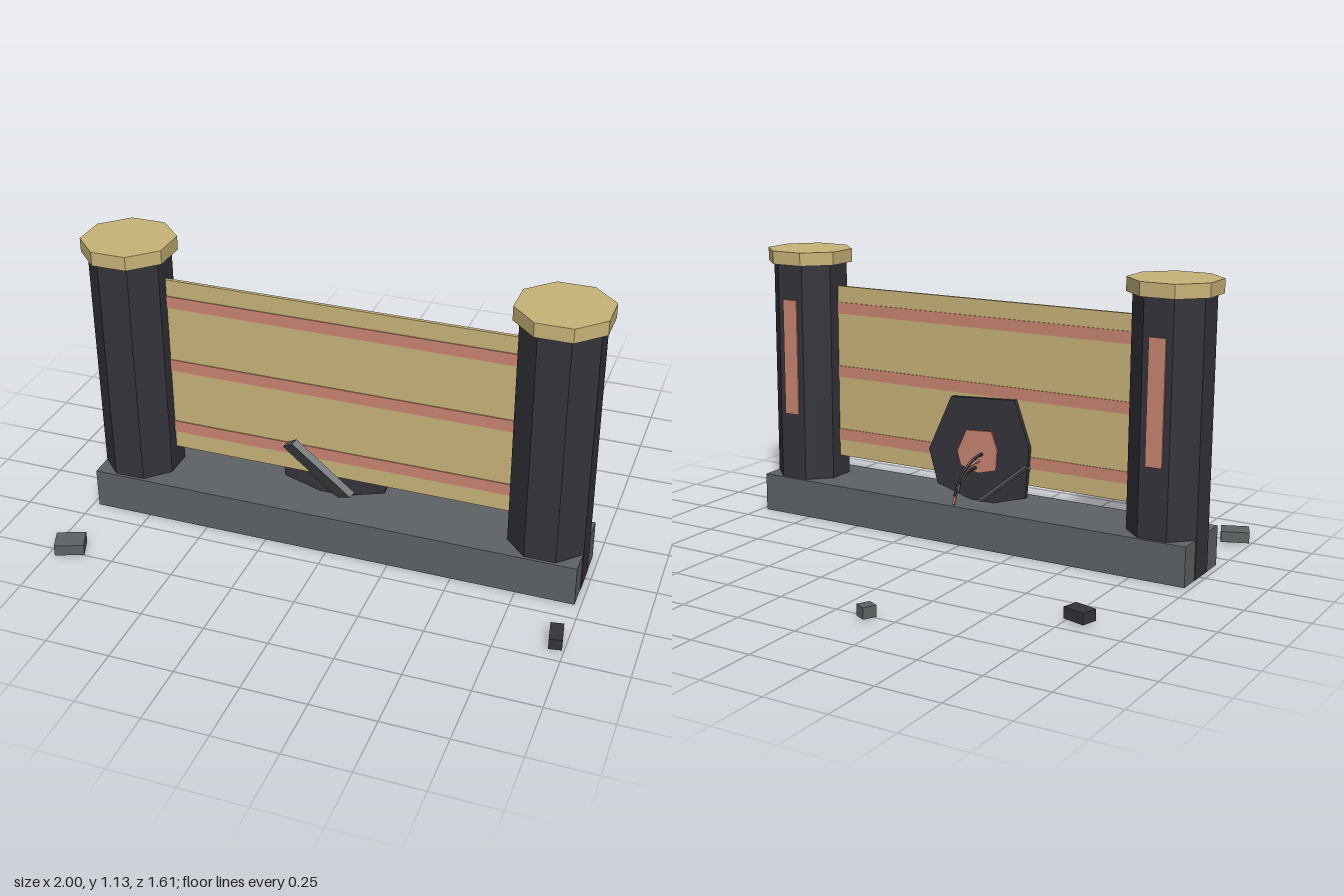
import * as THREE from 'three';

const flat = (name, color) => {
  const m = new THREE.MeshStandardMaterial({ color });
  m.name = name;
  m.flatShading = true;
  return m;
};

export function createModel() {
  const dark = flat('darkMetal', 0x35343b);
  const gray = flat('grayStone', 0x5f6365);
  const gold = flat('gold', 0xc9b479);
  const red = flat('dullRed', 0xca8572);

  const group = new THREE.Group();
  const Z = 0.263; // centre plane of the barrier

  const add = (name, geometry, material, x = 0, y = 0, z = 0) => {
    const mesh = new THREE.Mesh(geometry, material);
    mesh.name = name;
    mesh.position.set(x, y, z);
    group.add(mesh);
    return mesh;
  };
  const box = (w, h, d) => new THREE.BoxGeometry(w, h, d);
  // Octagonal prism with flat sides facing the axes
  const octagon = (apothem, h) => {
    const r = apothem / Math.cos(Math.PI / 8);
    return new THREE.CylinderGeometry(r, r, h, 8).rotateY(Math.PI / 8);
  };

  // Foundation
  add('base', box(1.952, 0.16, 0.314), gray, 0, 0.08, Z);

  // Pillars with caps and inset light strips on the back
  for (const side of [-1, 1]) {
    const x = side * 0.833;
    add('pillar', octagon(0.145, 1.079), dark, x, 0.5405, Z);
    add('pillarCap', octagon(0.167, 0.055), gold, x, 1.1075, Z);
    add('pillarStrip', box(0.068, 0.49, 0.012), red, x, 0.687, Z - 0.146);
  }

  // Barrier panel and its horizontal stripes
  add('panel', box(1.42, 0.735, 0.014), gold, 0, 0.6175, Z);
  for (const y of [0.345, 0.62, 0.893]) {
    add('panelStripe', box(1.42, 0.048, 0.022), red, 0, y, Z);
  }

  // Broken hatch on the back: dark jagged plate with a red core
  const outline = [
    [0.116, 0.58], [-0.178, 0.597], [-0.245, 0.41], [-0.23, 0.2],
    [-0.03, 0.145], [0.18, 0.205], [0.222, 0.348],
  ];
  const centre = [-0.01, 0.365];
  const jagged = (scale, depth) => new THREE.ExtrudeGeometry(
    new THREE.Shape(outline.map(([x, y]) => new THREE.Vector2(
      centre[0] + (x - centre[0]) * scale, centre[1] + (y - centre[1]) * scale))),
    { depth, bevelEnabled: false });
  add('hatchPlate', jagged(1, 0.02), dark, 0, 0, 0.232);
  add('hatchCore', jagged(0.4, 0.008), red, 0, 0, 0.225);

  // Loose cables drooping out of the core
  const cables = [
    [dark, -0.035, 0.36, 0.03, 0.2],
    [red, -0.02, 0.33, 0.035, 0.165],
    [dark, -0.005, 0.3, 0.012, 0.22],
  ];
  for (const [material, x0, y0, x1, y1] of cables) {
    const curve = new THREE.CatmullRomCurve3([
      new THREE.Vector3(x0, y0, 0.23),
      new THREE.Vector3(x0 + 0.012, y0 - 0.01, 0.18),
      new THREE.Vector3((x0 + x1) / 2 + 0.012, (y0 + y1) / 2, 0.135),
      new THREE.Vector3(x1, y1, 0.117),
    ]);
    add('cable', new THREE.TubeGeometry(curve, 8, 0.007, 5), material);
  }

  // Slab wedged through the panel, leaning out to the front
  const u = new THREE.Vector3(0.23, -0.187, 0).normalize();
  const v = new THREE.Vector3(0.11, 0.133, 0.17).normalize();
  const n = new THREE.Vector3().crossVectors(u, v);
  const slab = add('slab', box(0.295, 0.285, 0.025), gray);
  slab.quaternion.setFromRotationMatrix(new THREE.Matrix4().makeBasis(u, v, n));
  slab.position.set(-0.07, 0.305, 0.341).addScaledVector(n, -0.0125);

  // Scattered rubble: x, z, width, depth, turn
  const rubble = [
    [dark, -0.8, -0.41, 0.094, 0.066, -0.286],
    [gray, -0.145, -0.772, 0.048, 0.054, -0.46],
    [gray, -0.93, 0.737, 0.113, 0.09, 0.38],
    [dark, 0.962, 0.657, 0.049, 0.096, 0.17],
  ];
  for (const [material, x, z, w, d, turn] of rubble) {
    add('rubble', box(w, 0.044, d), material, x, 0.031, z).rotation.y = turn;
  }

  return group;
}
